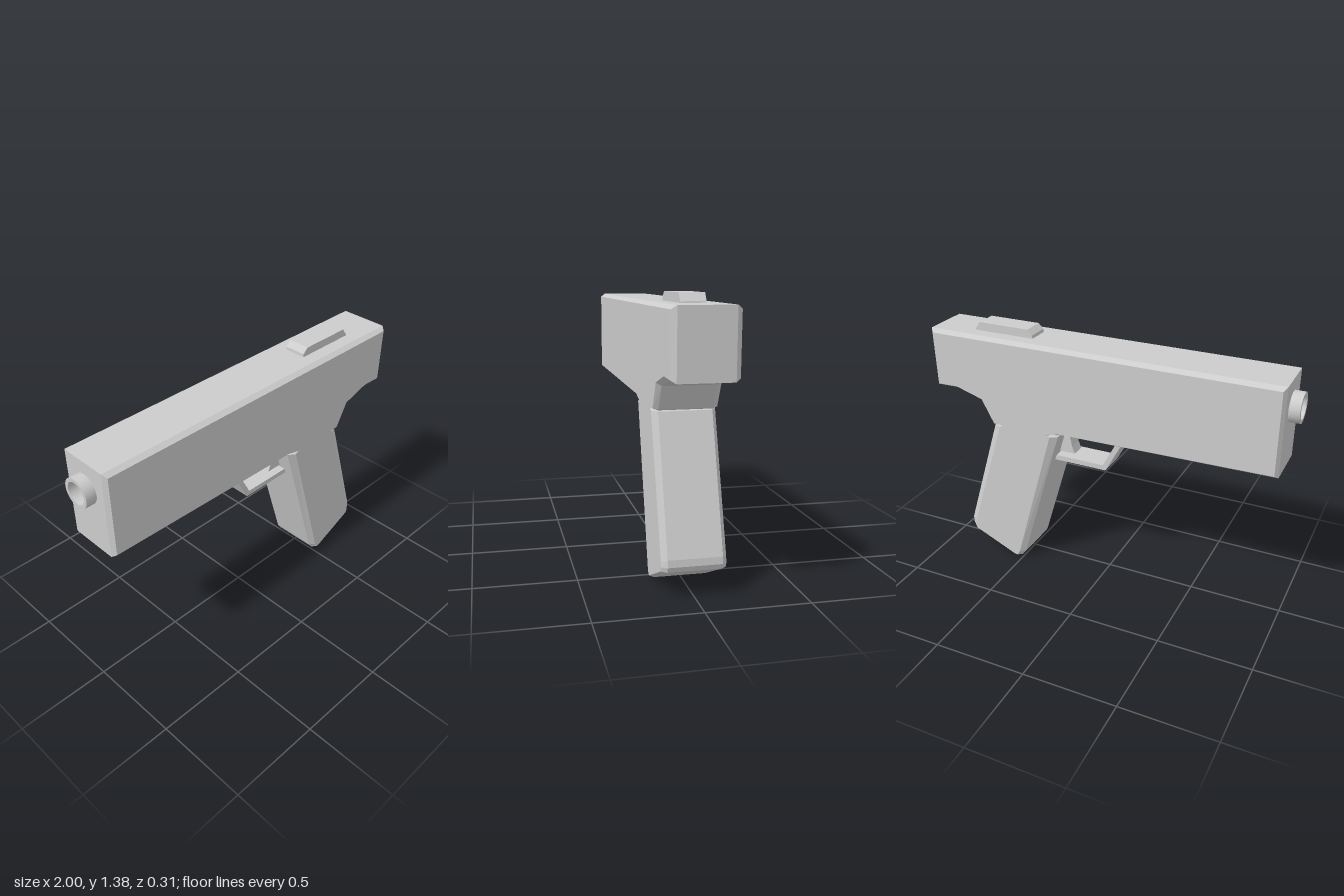
import * as THREE from 'three';
import { toCreasedNormals } from 'three/addons/utils/BufferGeometryUtils.js';

// Each row pairs a side-face point (x, y) with its bevelled rim point (x, y), counter-clockwise
const OUTLINE = [
  [-0.93, 1.32, -0.945, 1.338],
  [-0.93, 0.885, -0.945, 0.868],
  [0.23, 0.866, 0.23, 0.852],
  [0.305, 0.846, 0.265, 0.846],
  [0.284, 0.836, 0.246, 0.836],
  [0.515, 0.04, 0.486, 0.04],
  [0.53, 0.013, 0.51, 0.006],
  [0.548, 0.014, 0.54, 0],
  [0.8, 0.128, 0.828, 0.13],
  [0.808, 0.15, 0.838, 0.155],
  [0.803, 0.18, 0.836, 0.19],
  [0.592, 0.838, 0.634, 0.838],
  [0.575, 0.848, 0.628, 0.843],
  [0.628, 0.852, 0.64, 0.848],
  [0.697, 0.982, 0.706, 0.966],
  [0.855, 1.03, 0.86, 1.014],
  [0.97, 1.027, 0.99, 1.012],
  [0.978, 1.32, 0.998, 1.338],
];

// Frame and grip: two flat sides joined by bevelled rims
function bodyGeometry() {
  const inner = OUTLINE.map(([x, y]) => new THREE.Vector2(x, y));
  const outer = OUTLINE.map(([, , x, y]) => new THREE.Vector2(x, y));
  const rings = [[inner, 0.155], [outer, 0.13], [outer, -0.13], [inner, -0.155]];
  const n = inner.length;
  const pos = [];
  const put = (ring, i) => {
    const p = rings[ring][0][i % n];
    pos.push(p.x, p.y, rings[ring][1]);
  };
  for (let r = 0; r < 3; r++) {
    for (let i = 0; i < n; i++) {
      put(r, i); put(r + 1, i); put(r + 1, i + 1);
      put(r, i); put(r + 1, i + 1); put(r, i + 1);
    }
  }
  for (const [a, b, c] of THREE.ShapeUtils.triangulateShape(inner, [])) {
    put(0, a); put(0, b); put(0, c);
    put(3, a); put(3, c); put(3, b);
  }
  const geo = new THREE.BufferGeometry();
  geo.setAttribute('position', new THREE.Float32BufferAttribute(pos, 3));
  geo.computeVertexNormals();
  return geo;
}

// Flat profile extruded symmetrically about z = 0
function plate(points, width) {
  const shape = new THREE.Shape(points.map(([x, y]) => new THREE.Vector2(x, y)));
  const geo = new THREE.ExtrudeGeometry(shape, { depth: width, bevelEnabled: false });
  return geo.translate(0, 0, -width / 2);
}

export function createModel() {
  const model = new THREE.Group();
  const grey = new THREE.MeshStandardMaterial({ color: 0xcccccc });
  grey.name = 'light grey';

  const add = (name, geometry) => {
    const mesh = new THREE.Mesh(geometry, grey);
    mesh.name = name;
    model.add(mesh);
    return mesh;
  };

  add('bodyAndGrip', bodyGeometry());

  // Hollow barrel tip
  const profile = [[0.077, 0], [0.077, 0.065], [0.058, 0.065], [0.058, 0]];
  const tube = new THREE.LatheGeometry(profile.map(([r, h]) => new THREE.Vector2(r, h)), 32);
  const barrel = add('barrel', toCreasedNormals(tube, 0.6));
  barrel.rotation.z = Math.PI / 2;
  barrel.position.set(-0.935, 1.193, 0);

  // Raised block on top
  add('rearSight', plate([
    [0.415, 1.33], [0.765, 1.33], [0.762, 1.345], [0.736, 1.383], [0.445, 1.383], [0.417, 1.355],
  ], 0.12));

  // Loop below the body
  add('triggerGuard', plate([
    [-0.115, 0.862], [-0.008, 0.665], [0.32, 0.665], [0.32, 0.693], [0.008, 0.693], [-0.082, 0.862],
  ], 0.15));

  add('trigger', plate([
    [0.222, 0.86], [0.22, 0.8], [0.21, 0.745], [0.195, 0.705], [0.3, 0.705], [0.27, 0.86],
  ], 0.08));

  return model;
}
